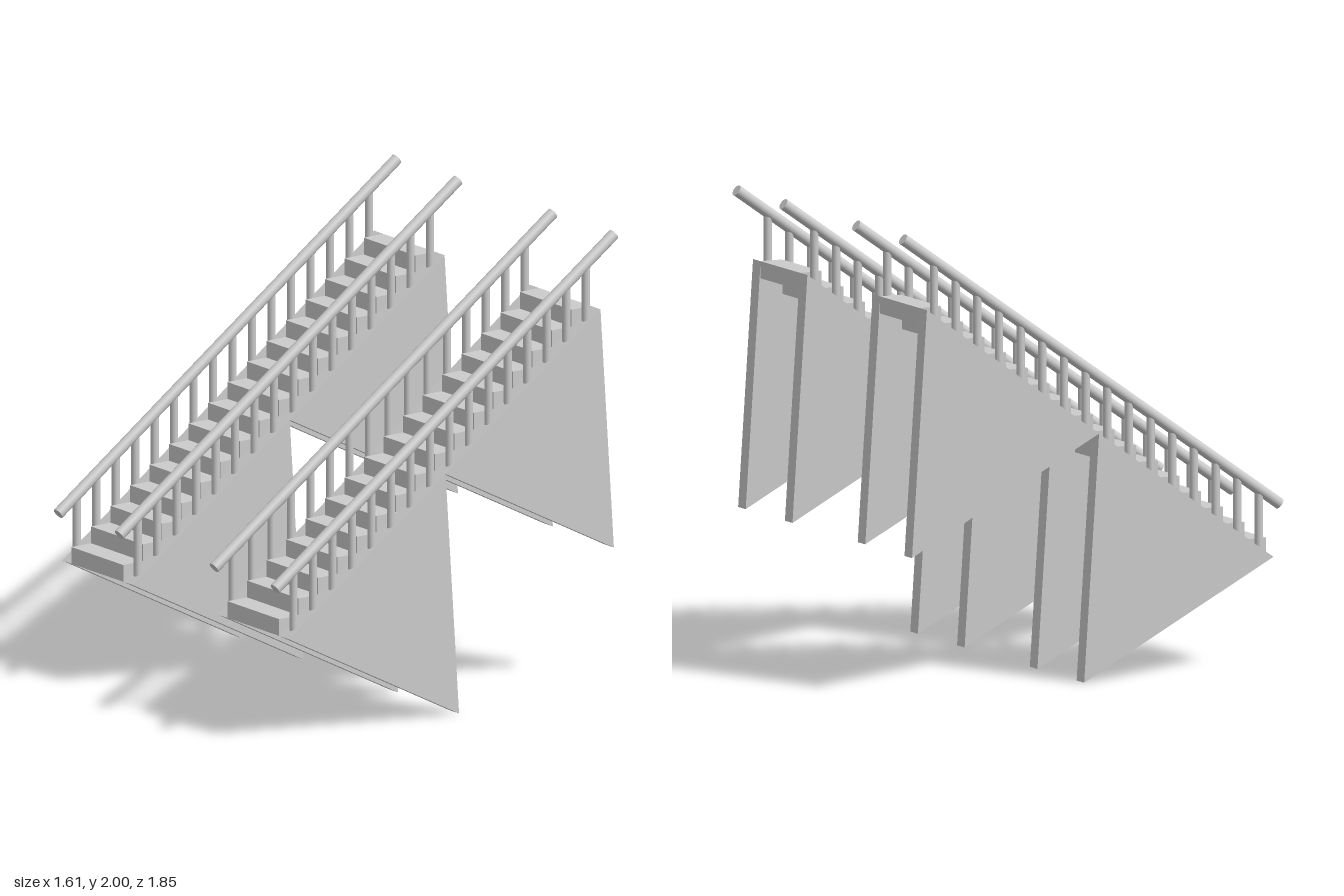
import * as THREE from 'three';

const material = new THREE.MeshStandardMaterial({ color: 0xcccccc });

const STEPS = 16;
const FOOT = { z: 0.865, y: 0.48 };   // lower end of the stair slope
const HEAD = { z: -0.81, y: 1.67 };   // upper end of the stair slope
const RUN = (FOOT.z - HEAD.z) / STEPS;
const RISE = (HEAD.y - FOOT.y) / STEPS;
const OUTER = 0.77, INNER = 0.337;    // centre lines of the two sides of a flight
const THICK = 0.07;
const RAIL_LOW = new THREE.Vector3(0, 0.703, 0.912);
const RAIL_HIGH = new THREE.Vector3(0, 1.98, -0.908);

function addMesh(parent, name, geometry, x = 0, y = 0, z = 0) {
  const mesh = new THREE.Mesh(geometry, material);
  mesh.name = name;
  mesh.position.set(x, y, z);
  parent.add(mesh);
  return mesh;
}

// Triangular slab from [z, y] corners, centred on x = 0
function slab(corners) {
  const shape = new THREE.Shape(corners.map(([z, y]) => new THREE.Vector2(z, y)));
  return new THREE.ExtrudeGeometry(shape, { depth: THICK, bevelEnabled: false })
    .translate(0, 0, -THICK / 2)
    .rotateY(-Math.PI / 2);
}

const lowerSlab = slab([[FOOT.z, FOOT.y], [-0.05, 0], [0.022, 1.075]]);
const upperSlab = slab([[0.022, 1.075], [-0.882, 0.6], [HEAD.z, HEAD.y]]);
const stepBox = new THREE.BoxGeometry(OUTER - INNER - THICK + 0.004, RISE, RUN);

// One side: two triangular supports, balusters and a sloping handrail
function createSide(x) {
  const side = new THREE.Group();
  side.name = 'stairSide';
  side.position.x = x;
  addMesh(side, 'lowerSupport', lowerSlab);
  addMesh(side, 'upperSupport', upperSlab);

  const slope = RAIL_HIGH.clone().sub(RAIL_LOW);
  const rail = addMesh(side, 'handrail', new THREE.CylinderGeometry(0.025, 0.025, slope.length(), 20));
  rail.position.copy(RAIL_LOW).addScaledVector(slope, 0.5);
  rail.quaternion.setFromUnitVectors(new THREE.Vector3(0, 1, 0), slope.clone().normalize());

  for (let i = 0; i < STEPS; i++) {
    const z = FOOT.z - (i + 0.5) * RUN;
    const bottom = FOOT.y + (i + 0.5) * RISE - 0.02;
    const top = RAIL_LOW.y + slope.y * (z - RAIL_LOW.z) / slope.z + 0.012;
    const post = new THREE.CylinderGeometry(0.018, 0.018, top - bottom, 16);
    addMesh(side, 'baluster', post, 0, (top + bottom) / 2, z);
  }
  return side;
}

// A full flight on the left (+1) or right (-1)
function createFlight(sign) {
  const flight = new THREE.Group();
  flight.name = sign > 0 ? 'leftFlight' : 'rightFlight';
  flight.add(createSide(sign * OUTER), createSide(sign * INNER));
  for (let i = 0; i < STEPS; i++) {
    addMesh(flight, 'step', stepBox, sign * (OUTER + INNER) / 2,
      FOOT.y + (i + 0.5) * RISE, FOOT.z - (i + 0.5) * RUN);
  }
  return flight;
}

export function createModel() {
  const model = new THREE.Group();
  model.name = 'twinStairs';
  for (const sign of [1, -1]) model.add(createFlight(sign));
  return model;
}
